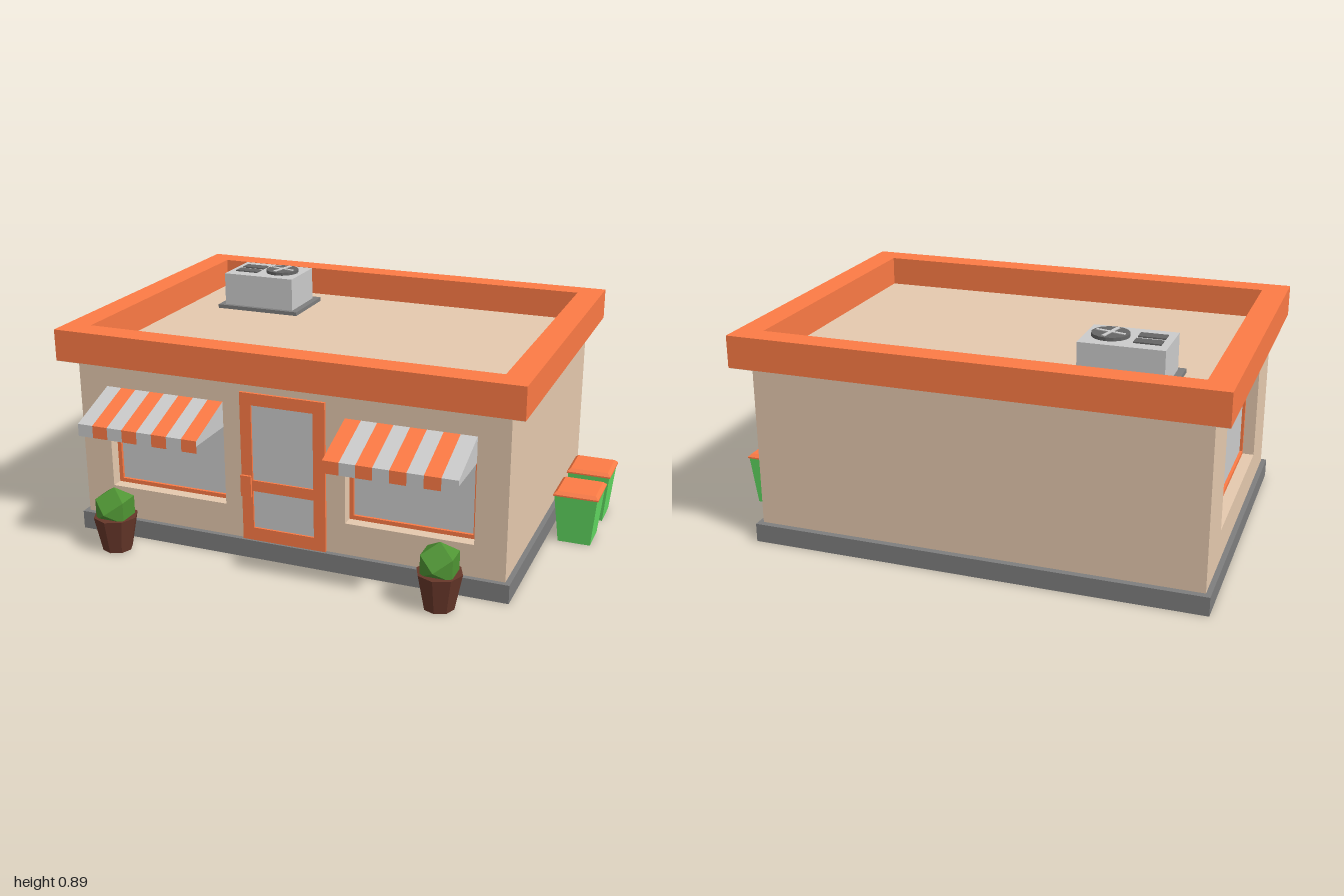
import * as THREE from 'three';
import { ConvexGeometry } from 'three/addons/geometries/ConvexGeometry.js';

const mat = (color) => new THREE.MeshStandardMaterial({ color, flatShading: true, side: THREE.DoubleSide });
const M = {
  grey: mat(0xcccccc), orange: mat(0xfd7b45), tan: mat(0xe5c9ae), dark: mat(0x7e7e7e),
  vent: mat(0x666666), brown: mat(0x67372a), leaf: mat(0x4f9433), green: mat(0x63dd63),
};

function add(parent, name, geometry, material, x = 0, y = 0, z = 0) {
  const mesh = new THREE.Mesh(geometry, material);
  mesh.name = name;
  mesh.position.set(x, y, z);
  parent.add(mesh);
  return mesh;
}

// Box given by its minimum and maximum corners
function box(parent, name, material, x0, x1, y0, y1, z0, z1) {
  return add(parent, name, new THREE.BoxGeometry(x1 - x0, y1 - y0, z1 - z0), material,
    (x0 + x1) / 2, (y0 + y1) / 2, (z0 + z1) / 2);
}

// Rectangle with rectangular holes, each [x0, x1, y0, y1], extruded along +z
function panel(outer, holes, depth) {
  const pts = ([a, b, c, d]) => [[a, c], [b, c], [b, d], [a, d]].map(p => new THREE.Vector2(...p));
  const shape = new THREE.Shape(pts(outer));
  holes.forEach(h => shape.holes.push(new THREE.Path(pts(h))));
  return new THREE.ExtrudeGeometry(shape, { depth, bevelEnabled: false });
}

// Four-sided tapered block, sized at bottom and top
function taper(wb, db, wt, dt, h) {
  const g = new THREE.BoxGeometry(1, h, 1);
  const p = g.attributes.position;
  for (let i = 0; i < p.count; i++) {
    const top = p.getY(i) > 0;
    p.setX(i, p.getX(i) * (top ? wt : wb));
    p.setZ(i, p.getZ(i) * (top ? dt : db));
  }
  g.computeVertexNormals();
  return g.translate(0, h / 2, 0);
}

// Recessed window for an opening whose outer wall face is at z = 0
function makeWindow([x0, x1, y0, y1]) {
  const g = new THREE.Group();
  g.name = 'window';
  const t = 0.016;
  add(g, 'windowFrame', panel([x0, x1, y0, y1], [[x0 + t, x1 - t, y0 + t, y1 - t]], 0.015), M.orange, 0, 0, -0.06);
  box(g, 'windowGlass', M.grey, x0, x1, y0, y1, -0.065, -0.056);
  return g;
}

// Striped awning with cheeks and a hanging valance; flip reverses the stripes
function makeAwning(x0, x1, flip) {
  const g = new THREE.Group();
  g.name = 'awning';
  const n = 8, w = (x1 - x0) / n;
  const profile = [[0.54, 0.615], [0.755, 0.535], [0.755, 0.487]];
  for (let i = 0; i < n; i++) {
    const a = x0 + i * w, b = a + w, v = [], idx = [];
    for (let k = 0; k < 2; k++) {
      const [[z0, y0], [z1, y1]] = [profile[k], profile[k + 1]];
      v.push(a, y0, z0, a, y1, z1, b, y1, z1, b, y0, z0);
      idx.push(...[0, 1, 2, 0, 2, 3].map(q => q + 4 * k));
    }
    const geo = new THREE.BufferGeometry();
    geo.setAttribute('position', new THREE.Float32BufferAttribute(v, 3));
    geo.setIndex(idx);
    geo.computeVertexNormals();
    add(g, 'awningStripe', geo, (i % 2 === 1) !== flip ? M.orange : M.grey);
  }
  const cheek = new THREE.ShapeGeometry(new THREE.Shape(
    [[-0.54, 0.515], [-0.755, 0.515], [-0.755, 0.535], [-0.54, 0.615]].map(p => new THREE.Vector2(...p))));
  for (const x of [x0, x1]) add(g, 'awningCheek', cheek, M.grey, x).rotation.y = Math.PI / 2;
  return g;
}

// Potted shrub clipped to a cuboctahedron
function makePlant(x, z) {
  const g = new THREE.Group();
  g.name = 'pottedPlant';
  add(g, 'pot', new THREE.CylinderGeometry(0.086, 0.058, 0.14, 8), M.brown, 0, 0.07, 0);
  const pts = [], r = 0.085 / Math.SQRT2;
  for (const a of [-r, r]) for (const b of [-r, r]) {
    pts.push(new THREE.Vector3(a, b, 0), new THREE.Vector3(0, a, b), new THREE.Vector3(a, 0, b));
  }
  add(g, 'shrub', new ConvexGeometry(pts), M.leaf, 0, 0.17, 0).rotation.x = Math.PI / 4;
  g.position.set(x, 0, z);
  return g;
}

function makeBin(x, z) {
  const g = new THREE.Group();
  g.name = 'bin';
  add(g, 'binBody', taper(0.128, 0.135, 0.168, 0.168, 0.2), M.green);
  add(g, 'binLid', taper(0.176, 0.176, 0.176, 0.176, 0.006), M.orange, 0, 0.198, 0);
  add(g, 'binLidTop', taper(0.176, 0.176, 0.15, 0.15, 0.012), M.orange, 0, 0.204, 0);
  g.position.set(x, 0, z);
  return g;
}

export function createModel() {
  const model = new THREE.Group();
  model.name = 'shop';

  // Base and walls
  box(model, 'base', M.dark, -0.96, 0.80, 0, 0.073, -0.715, 0.56);
  const openings = [[-0.82, -0.325, 0.2, 0.615], [0.165, 0.66, 0.2, 0.615]];
  add(model, 'frontWall', panel([-0.94, 0.78, 0.07, 0.717], openings, 0.07), M.tan, 0, 0, 0.47);
  for (const o of openings) {
    const w = makeWindow(o);
    w.position.z = 0.54;
    model.add(w);
  }
  box(model, 'backWall', M.tan, -0.94, 0.78, 0.07, 0.717, -0.69, -0.62);
  box(model, 'rightSideWall', M.tan, 0.71, 0.78, 0.07, 0.717, -0.62, 0.47);

  // Side wall with its window, built facing +z and turned to face -x
  const side = new THREE.Group();
  side.name = 'windowedSideWall';
  const sideOpening = [-0.445, 0.29, 0.2, 0.615];
  add(side, 'sideWall', panel([-0.62, 0.47, 0.07, 0.717], [sideOpening], 0.07), M.tan, 0, 0, -0.07);
  side.add(makeWindow(sideOpening));
  side.rotation.y = -Math.PI / 2;
  side.position.x = -0.94;
  model.add(side);

  // Roof slab and raised parapet
  box(model, 'roof', M.tan, -0.998, 0.838, 0.714, 0.722, -0.753, 0.598);
  const parapet = panel([-1, 0.84, -0.6, 0.755], [[-0.9, 0.74, -0.5, 0.66]], 0.123);
  add(model, 'parapet', parapet, M.orange, 0, 0.716, 0).rotation.x = -Math.PI / 2;

  // Rooftop cooling unit
  const unit = new THREE.Group();
  unit.name = 'coolingUnit';
  box(unit, 'unitPlinth', M.dark, -0.755, -0.385, 0.72, 0.738, -0.55, -0.28);
  box(unit, 'unitBody', M.grey, -0.728, -0.412, 0.735, 0.875, -0.52, -0.298);
  for (const z of [-0.445, -0.375]) box(unit, 'unitVent', M.vent, -0.70, -0.60, 0.87, 0.88, z - 0.024, z + 0.024);
  add(unit, 'fanDisc', new THREE.CylinderGeometry(0.07, 0.07, 0.02, 16), M.vent, -0.505, 0.878, -0.41);
  for (const a of [0.25, 0.25 + Math.PI / 2]) {
    add(unit, 'fanBlade', new THREE.BoxGeometry(0.115, 0.004, 0.014), M.grey, -0.505, 0.889, -0.41).rotation.y = -a;
  }
  model.add(unit);

  // Door with two panes and a handle
  const door = new THREE.Group();
  door.name = 'door';
  add(door, 'doorFrame', panel([-0.25, 0.09, 0.073, 0.667],
    [[-0.205, 0.043, 0.32, 0.62], [-0.205, 0.043, 0.125, 0.277]], 0.015), M.orange, 0, 0, 0.536);
  box(door, 'doorGlass', M.grey, -0.22, 0.06, 0.11, 0.64, 0.53, 0.543);
  box(door, 'doorHandle', M.orange, -0.249, -0.206, 0.255, 0.34, 0.555, 0.565);
  box(door, 'handleMount', M.orange, -0.24, -0.215, 0.27, 0.325, 0.545, 0.558);
  model.add(door);

  // Awnings, plants and bins
  model.add(makeAwning(-0.82, -0.325, false), makeAwning(0.165, 0.66, true));
  for (const x of [-0.74, 0.573]) model.add(makePlant(x, 0.667));
  for (const z of [-0.08, -0.325]) model.add(makeBin(0.912, z));
  return model;
}
